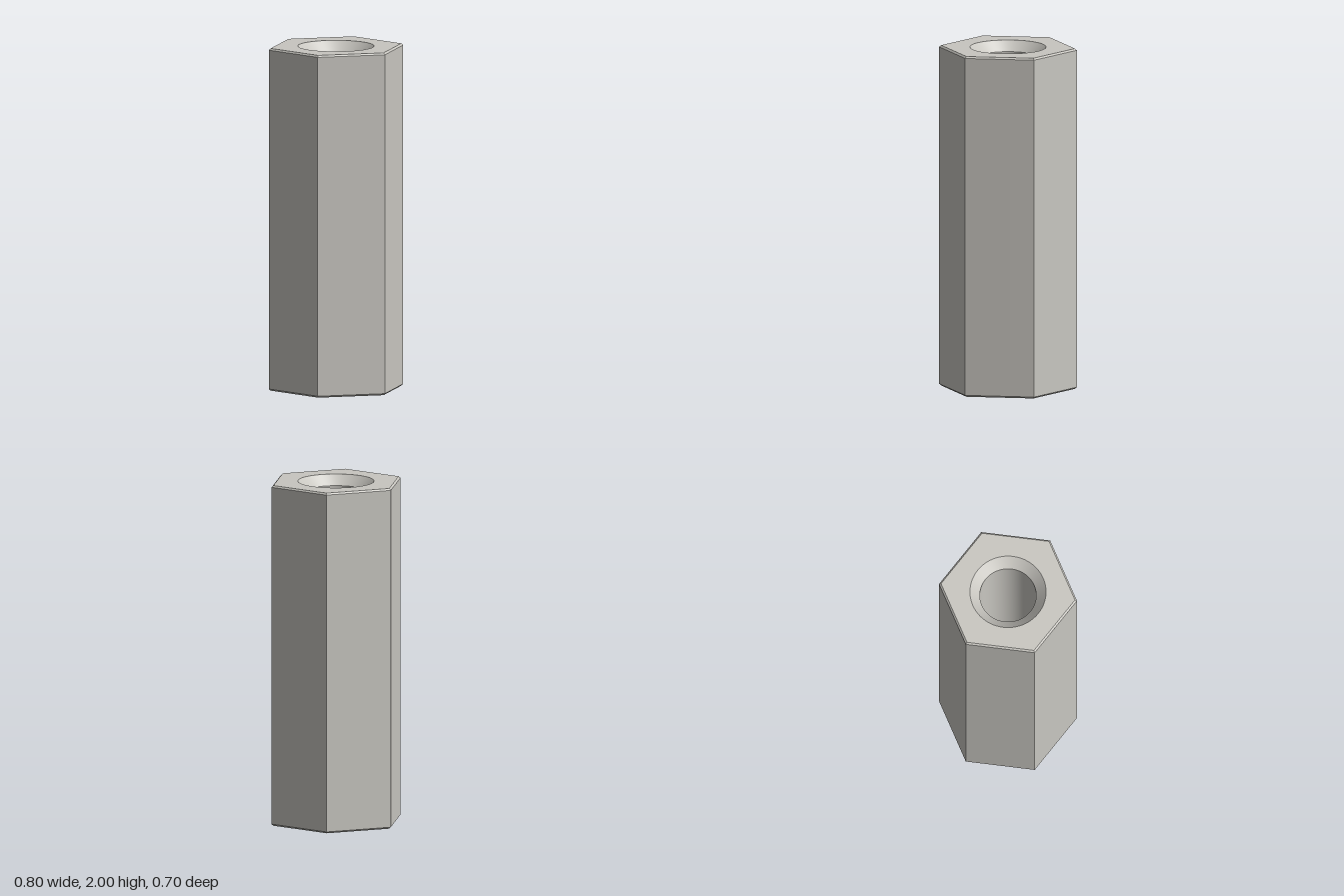
import * as THREE from 'three';
import { toCreasedNormals } from 'three/addons/utils/BufferGeometryUtils.js';

const HEIGHT = 2, HEX_R = 0.402, BEVEL = 0.01;
const CAP_R = HEX_R - BEVEL / Math.cos(Math.PI / 6);
const BORE_R = 0.163, SINK_R = 0.22, SINK_DEPTH = 0.058;
const ROUND = 72;

// Revolve [radius, height] pairs; rising profiles face outward, falling ones inward
function revolve(profile, sides, crease) {
  const points = profile.map(([r, y]) => new THREE.Vector2(r, y));
  return toCreasedNormals(new THREE.LatheGeometry(points, sides, Math.PI / 2), crease);
}

// Hexagonal end face with a round opening
function endFace() {
  const ring = (radius, n) => Array.from({ length: n }, (_, i) => {
    const a = (i / n) * Math.PI * 2;
    return new THREE.Vector2(radius * Math.cos(a), radius * Math.sin(a));
  });
  const shape = new THREE.Shape(ring(CAP_R, 6));
  shape.holes.push(new THREE.Path(ring(SINK_R, ROUND).reverse()));
  return new THREE.ShapeGeometry(shape);
}

export function createModel() {
  const group = new THREE.Group();
  group.name = 'hexStandoff';
  const metal = new THREE.MeshStandardMaterial({ color: 0xc8c6c0 });
  metal.name = 'light grey metal';

  const add = (name, geometry) => {
    const mesh = new THREE.Mesh(geometry, metal);
    mesh.name = name;
    group.add(mesh);
    return mesh;
  };

  // Six flat sides with a small bevel at both ends
  add('hexBody', revolve([
    [CAP_R, 0], [HEX_R, BEVEL], [HEX_R, HEIGHT - BEVEL], [CAP_R, HEIGHT],
  ], 6, 0.1));

  // Through hole, countersunk at both ends
  add('bore', revolve([
    [SINK_R, HEIGHT], [BORE_R, HEIGHT - SINK_DEPTH], [BORE_R, SINK_DEPTH], [SINK_R, 0],
  ], ROUND, 0.4));

  // End faces
  const top = add('topFace', endFace());
  top.rotation.x = -Math.PI / 2;
  top.position.y = HEIGHT;
  add('bottomFace', endFace()).rotation.x = Math.PI / 2;

  return group;
}
